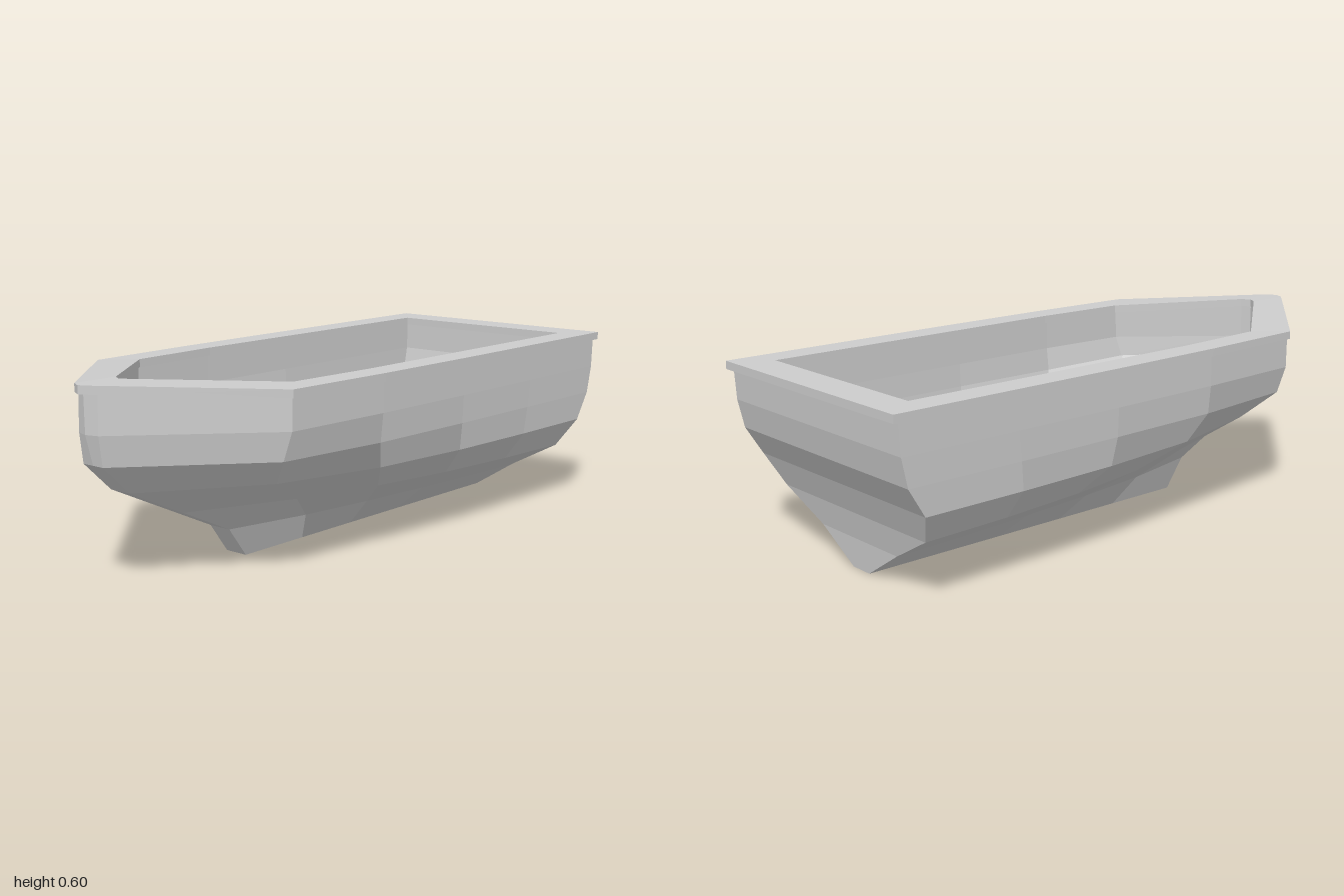
import * as THREE from 'three';

const grey = () => new THREE.MeshStandardMaterial({ color: 0xcccccc });

// Closed waterline ring: stem point, +x side from bow to stern, then its mirror.
// half = [x, y, z] points; stem = how far the centre point juts ahead of the bow.
function ring(half, stem) {
  const [, y, z] = half[0];
  const mirrored = half.map(([x, py, pz]) => [-x, py, pz]).reverse();
  return [[0, y, z + stem], ...half, ...mirrored];
}

// Joins successive rings with flat-shaded panels, optionally capping both ends.
function loft(rings, { caps = false } = {}) {
  const pos = [], nor = [];
  const n = rings[0].length;

  // Four-cornered panel split about its middle, so both sides of the boat match
  const panel = (...corners) => {
    const v = corners.map((c) => new THREE.Vector3(...c));
    const mid = v.reduce((s, p) => s.add(p), new THREE.Vector3()).divideScalar(4);
    const normal = v[2].clone().sub(v[0]).cross(v[3].clone().sub(v[1])).normalize();
    v.forEach((p, i) => {
      for (const q of [p, v[(i + 1) % 4], mid]) {
        pos.push(q.x, q.y, q.z);
        nor.push(normal.x, normal.y, normal.z);
      }
    });
  };

  for (let r = 0; r + 1 < rings.length; r++) {
    const a = rings[r], b = rings[r + 1];
    for (let i = 0; i < n; i++) {
      const j = (i + 1) % n;
      panel(a[i], a[j], b[j], b[i]);
    }
  }

  // Horizontal strips from side to side close the keel and the floor
  const cap = (p, up) => {
    for (let i = 1; i < (n - 1) / 2; i++) {
      const q = [p[i], p[i + 1], p[n - 1 - i], p[n - i]];
      panel(...(up ? q : q.reverse()));
    }
  };
  if (caps) {
    cap(rings[0], false);
    cap(rings[rings.length - 1], true);
  }

  const geo = new THREE.BufferGeometry();
  geo.setAttribute('position', new THREE.Float32BufferAttribute(pos, 3));
  geo.setAttribute('normal', new THREE.Float32BufferAttribute(nor, 3));
  return geo;
}

// Outer waterlines, keel upwards: height, half widths and z from bow to stern
const outer = [
  { y: 0, x: [0.04, 0.04, 0.04, 0.04, 0.04, 0.04], z: [0.4, 0.14, -0.1, -0.35, -0.59, -0.835] },
  { y: 0.095, x: [0.04, 0.1, 0.135, 0.16, 0.178, 0.19], z: [0.47, 0.19, -0.07, -0.33, -0.59, -0.84] },
  { y: 0.185, x: [0.04, 0.18, 0.26, 0.31, 0.34, 0.355], z: [0.66, 0.32, 0.03, -0.26, -0.56, -0.86] },
  { y: 0.28, x: [0.04, 0.272, 0.365, 0.4, 0.412, 0.415], z: [0.86, 0.51, 0.15, -0.21, -0.56, -0.9] },
  { y: 0.37, x: [0.04, 0.364, 0.405, 0.415, 0.418, 0.418], z: [0.955, 0.58, 0.2, -0.2, -0.57, -0.955] },
  { y: 0.46, stem: 0.012, x: [0.04, 0.397, 0.414, 0.419, 0.419, 0.419], z: [0.967, 0.58, 0.2, -0.2, -0.58, -0.975] },
  { y: 0.555, stem: 0.016, sheer: 0.02, x: [0.04, 0.398, 0.414, 0.419, 0.419, 0.419], z: [0.965, 0.58, 0.2, -0.2, -0.58, -0.98] },
];

// Inner waterlines, top edge down to the floor; rise lifts each station where
// the thick planking lies flatter
const inner = [
  { y: 0.555, stem: 0.016, sheer: 0.02, x: [0.03, 0.322, 0.337, 0.338, 0.338, 0.338], z: [0.842, 0.495, 0.18, -0.2, -0.57, -0.895] },
  { y: 0.465, stem: 0.012, x: [0.032, 0.32, 0.337, 0.338, 0.338, 0.338], z: [0.845, 0.495, 0.18, -0.2, -0.57, -0.892] },
  { y: 0.38, rise: [0.025, 0.02, 0.01, 0.01, 0.01, 0.015], x: [0.035, 0.295, 0.328, 0.335, 0.336, 0.336], z: [0.85, 0.5, 0.18, -0.2, -0.57, -0.875] },
  { y: 0.3, rise: [0.05, 0.04, 0.015, 0.005, 0, 0], x: [0.035, 0.215, 0.3, 0.324, 0.332, 0.334], z: [0.81, 0.46, 0.14, -0.21, -0.55, -0.824] },
  { y: 0.247, rise: [0.01, 0.008, 0.004, 0, 0, 0], x: [0.035, 0.155, 0.218, 0.257, 0.284, 0.297], z: [0.62, 0.31, 0.035, -0.25, -0.54, -0.81] },
  { y: 0.167, x: [0.035, 0.08, 0.108, 0.128, 0.143, 0.153], z: [0.405, 0.17, -0.07, -0.32, -0.56, -0.794] },
];

const waterline = ({ y, x, z, stem = 0, sheer = 0, rise = [sheer, 0, 0, 0, 0, 0] }) =>
  ring(x.map((px, i) => [px, y + rise[i], z[i]]), stem);

// Flat gunwale cap, overhanging the planking and rising a little at the bow
function rimGeometry() {
  const outside = { x: [0.035, 0.406, 0.422, 0.427, 0.427, 0.427], z: [0.982, 0.585, 0.2, -0.2, -0.6, -1] };
  const inside = { x: [0.03, 0.32, 0.335, 0.335, 0.335, 0.335], z: [0.838, 0.49, 0.17, -0.2, -0.55, -0.888] };
  const at = (line, y) => waterline({ ...line, y, stem: 0.018, sheer: 0.02 });
  const bottom = 0.555, top = 0.58;
  return loft([at(outside, bottom), at(outside, top), at(inside, top), at(inside, bottom), at(outside, bottom)]);
}

export function createModel() {
  const boat = new THREE.Group();
  boat.name = 'boat';

  // Outer planking, over the top edge and down the inside to the floor
  const hull = new THREE.Mesh(loft([...outer, ...inner].map(waterline), { caps: true }), grey());
  hull.name = 'hull';

  const rim = new THREE.Mesh(rimGeometry(), grey());
  rim.name = 'gunwale';

  boat.add(hull, rim);
  return boat;
}
